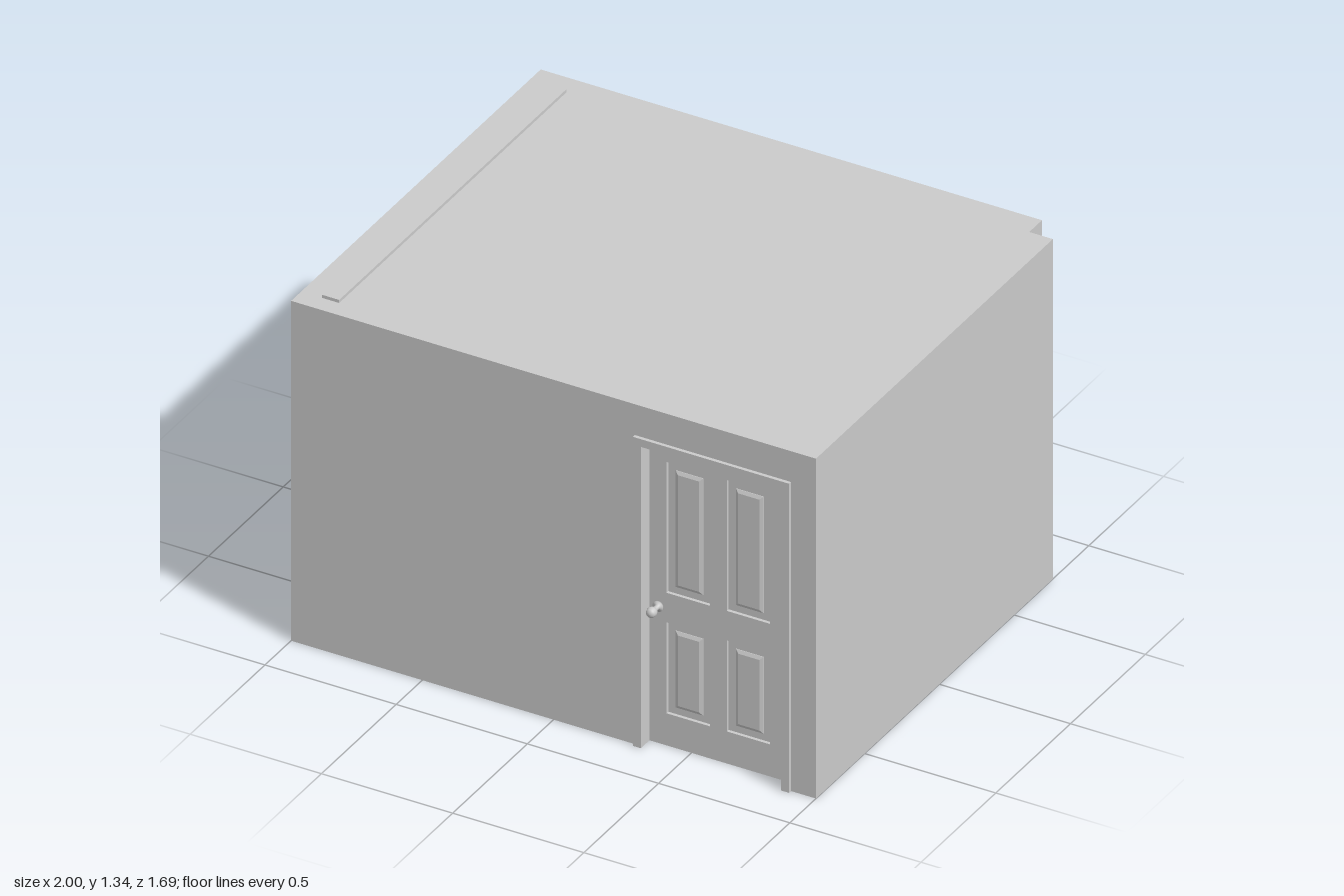
import * as THREE from 'three';

const H = 1.325;
const mat = new THREE.MeshStandardMaterial({ color: 0xcccccc, flatShading: true });
const smooth = new THREE.MeshStandardMaterial({ color: 0xcccccc });

function add(parent, name, geometry, material = mat) {
  const mesh = new THREE.Mesh(geometry, material);
  mesh.name = name;
  parent.add(mesh);
  return mesh;
}

// Box given by its limits on each axis
function box(parent, name, x0, x1, y0, y1, z0, z1) {
  const g = new THREE.BoxGeometry(x1 - x0, y1 - y0, z1 - z0);
  g.translate((x0 + x1) / 2, (y0 + y1) / 2, (z0 + z1) / 2);
  return add(parent, name, g);
}

const polygon = (pts) => new THREE.Shape(pts.map(([x, y]) => new THREE.Vector2(x, y)));
const rect = (x0, x1, y0, y1) => polygon([[x0, y0], [x1, y0], [x1, y1], [x0, y1]]);
const extrude = (shape, depth) => new THREE.ExtrudeGeometry(shape, { depth, bevelEnabled: false });

// Upright sheet from a to b with an opening that runs down to the floor
const gateway = (a, b, top, oa, ob, otop) => polygon([
  [a, 0], [oa, 0], [oa, otop], [ob, otop], [ob, 0], [b, 0], [b, top], [a, top],
]);

function buildShell(root) {
  const shell = new THREE.Group();
  shell.name = 'roomShell';
  root.add(shell);
  add(shell, 'frontWall', extrude(gateway(-1, 1, H, 0.34, 0.875, 1.175), 0.065).translate(0, 0, 0.76));
  add(shell, 'leftWall', extrude(gateway(-0.765, 0.76, H, -0.63, 0.627, 1.235), 0.06)
    .rotateY(-Math.PI / 2).translate(-0.94, 0, 0));
  box(shell, 'backWall', -1, 0.91, 0, H, -0.845, -0.765);
  box(shell, 'rightWall', 0.91, 1, 0, H, -0.76, 0.76);
  // Corner return joining the back and right walls
  box(shell, 'cornerPost', 0.87, 0.91, 0, H, -0.765, -0.72);
  box(shell, 'floor', -0.98, 0.91, 0, 0.008, -0.765, 0.77);
  box(shell, 'ceiling', -0.94, 0.91, 1.265, H, -0.765, 0.76);
  box(shell, 'ceilingTrack', -0.92, -0.855, 1.25, 1.337, -0.762, 0.758);
}

function buildDoor(root) {
  const door = new THREE.Group();
  door.name = 'entryDoor';
  root.add(door);
  add(door, 'doorCasing', extrude(gateway(0.31, 0.905, 1.205, 0.34, 0.875, 1.175), 0.08).translate(0, 0, 0.758));

  // Slab with four sunk panels, each holding a raised field
  const slab = rect(0.34, 0.875, 0, 1.175);
  for (const [x0, x1] of [[0.405, 0.57], [0.635, 0.8]]) {
    for (const [y0, y1] of [[0.125, 0.48], [0.595, 1.105]]) {
      slab.holes.push(rect(x0, x1, y0, y1));
      const bevel = 0.012;
      const field = rect(x0 + 0.03 + bevel, x1 - 0.03 - bevel, y0 + 0.028 + bevel, y1 - 0.028 - bevel);
      const g = new THREE.ExtrudeGeometry(field, {
        depth: 0.002, bevelEnabled: true, bevelThickness: 0.006, bevelSize: bevel, bevelSegments: 1,
      });
      add(door, 'raisedPanel', g.translate(0, 0, 0.77));
    }
  }
  add(door, 'doorSlab', extrude(slab, 0.012).translate(0, 0, 0.768));
  box(door, 'doorBacking', 0.34, 0.875, 0, 1.175, 0.755, 0.768);

  // Round knob on a rose and short neck
  const profile = [[0, 0], [0.02, 0], [0.02, 0.006], [0.009, 0.01], [0.009, 0.03], [0.016, 0.036],
    [0.019, 0.047], [0.016, 0.058], [0.009, 0.064], [0, 0.065]].map(([r, y]) => new THREE.Vector2(r, y));
  const knob = add(door, 'doorKnob', new THREE.LatheGeometry(profile, 24), smooth);
  knob.rotation.x = Math.PI / 2;
  knob.position.set(0.375, 0.535, 0.78);
}

function buildWindow(root) {
  const win = new THREE.Group();
  win.name = 'slidingWindow';
  root.add(win);
  const z0 = -0.63, z1 = 0.627, top = 1.235, w = 0.028;
  // Outer frame set back in the opening
  const frame = rect(z0, z1, 0.005, top);
  frame.holes.push(rect(z0 + w, z1 - w, 0.005 + w, top - w));
  add(win, 'windowFrame', extrude(frame, 0.055).rotateY(-Math.PI / 2).translate(-0.905, 0, 0));
  box(win, 'windowPane', -0.92, -0.91, 0.02, top - 0.01, z0 + 0.01, z1 - 0.01);
  box(win, 'mullion', -0.945, -0.91, 0.02, top - 0.01, 0.005, 0.035);
}

export function createModel() {
  const root = new THREE.Group();
  root.name = 'room';
  buildShell(root);
  buildDoor(root);
  buildWindow(root);
  return root;
}
